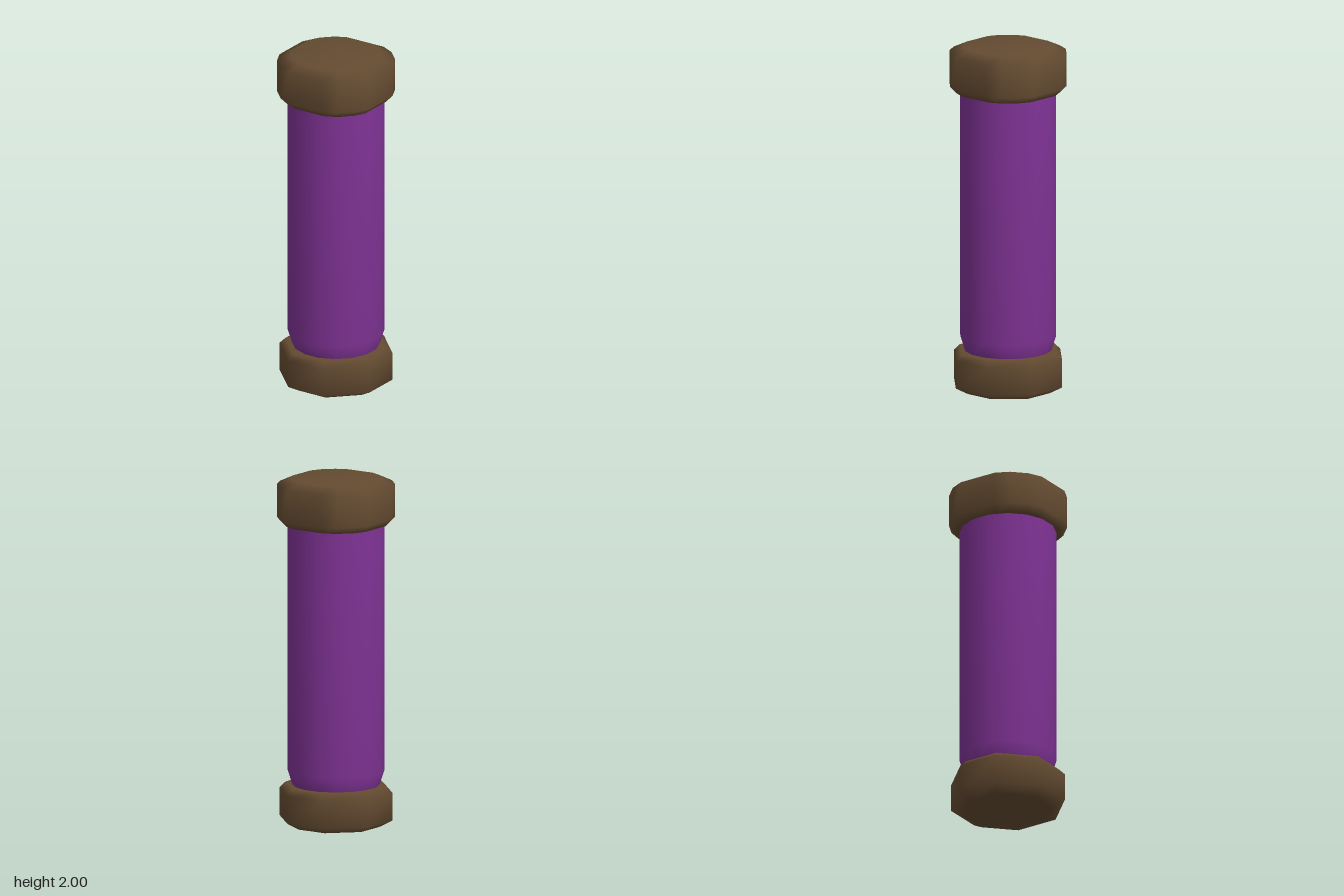
import * as THREE from 'three';

// Full outline from the points of one quadrant, ordered by growing angle
function outline(quadrant) {
  const points = [];
  for (let q = 0; q < 4; q++) {
    for (const [x, z] of quadrant) {
      points.push([[x, z], [-z, x], [-x, -z], [z, -x]][q]);
    }
  }
  return points;
}

// Closed smooth solid: one outline scaled at each [height, scale] section
function loft(points, sections) {
  const n = points.length;
  const position = [];
  const index = [];
  for (const [y, s] of sections) {
    for (const [x, z] of points) position.push(x * s, y, z * s);
  }
  const last = (sections.length - 1) * n;
  const bottom = last + n;
  const top = bottom + 1;
  position.push(0, sections[0][0], 0, 0, sections[sections.length - 1][0], 0);
  for (let i = 0; i < n; i++) {
    const j = (i + 1) % n;
    for (let k = 0; k < last; k += n) {
      index.push(k + i, k + n + i, k + j, k + j, k + n + i, k + n + j);
    }
    index.push(bottom, i, j, top, last + j, last + i);
  }
  const geometry = new THREE.BufferGeometry();
  geometry.setAttribute('position', new THREE.Float32BufferAttribute(position, 3));
  geometry.setIndex(index);
  geometry.computeVertexNormals();
  return geometry;
}

export function createModel() {
  const group = new THREE.Group();
  const brown = new THREE.MeshStandardMaterial({ name: 'brown', color: 0x644b31 });
  const purple = new THREE.MeshStandardMaterial({ name: 'purple', color: 0x7b3190 });

  const add = (name, geometry, material) => {
    const mesh = new THREE.Mesh(geometry, material);
    mesh.name = name;
    group.add(mesh);
  };

  // Sixteen-sided tube, narrowing into the lower cap
  const round = [];
  for (let i = 0; i < 4; i++) {
    const a = (i + 0.5) * Math.PI / 8;
    round.push([0.275 * Math.cos(a), 0.275 * Math.sin(a)]);
  }
  add('body', loft(outline(round), [[0.2, 0.86], [0.235, 0.9], [0.32, 1], [1.78, 1]]), purple);

  // Upper cap with chamfered rims
  const wide = outline([[0.308, 0.115], [0.27, 0.195], [0.195, 0.27], [0.115, 0.308]]);
  add('upperCap', loft(wide, [[1.735, 0.88], [1.775, 1], [1.965, 1], [2, 0.77]]), brown);

  // Lower cap, an octagon
  const octagon = outline([[0.308, 0.117], [0.117, 0.308]]);
  add('lowerCap', loft(octagon, [[0, 0.77], [0.04, 1], [0.2, 1], [0.235, 0.89]]), brown);

  return group;
}
